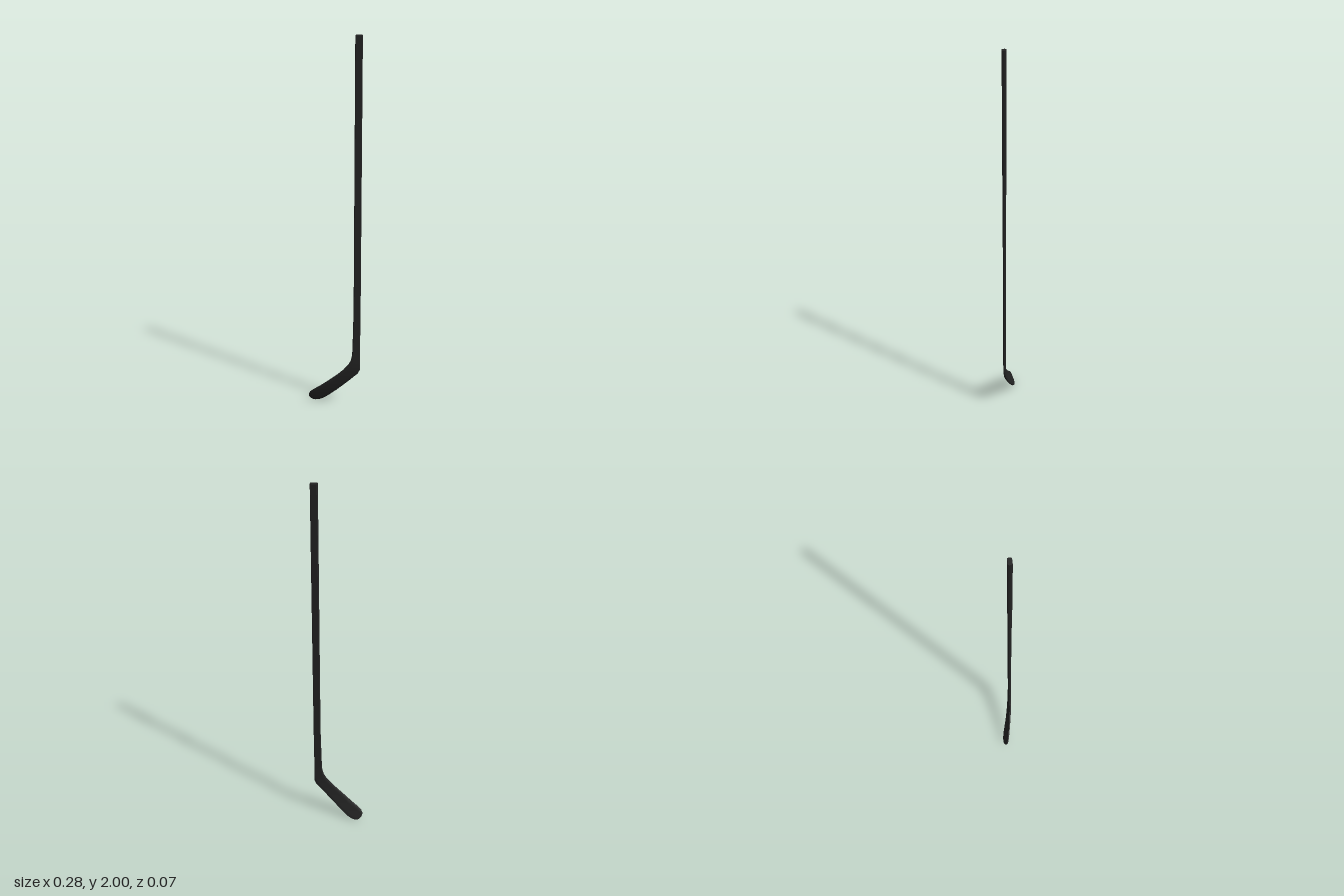
import * as THREE from 'three';
import { toCreasedNormals } from 'three/addons/utils/BufferGeometryUtils.js';

// Backward sweep of the blade as a function of height
const curveZ = y => 0.027 - 0.754 * Math.pow(Math.max(0, 0.25 - y), 1.81);
const slope = y => 1.365 * Math.pow(Math.max(0, 0.25 - y), 0.81);

// Chamfered section: [position from inner to outer edge, half-thickness factor]
const half = [[0, 0.5], [0.08, 1], [0.25, 1], [0.42, 1], [0.58, 1], [0.75, 1], [0.92, 1], [1, 0.5]];
const section = [...half, ...half.map(([u, h]) => [u, -h]).reverse()];

// Loft stations [outerX, outerY, innerX, innerY, thickness] from top to bottom
function loft(stations) {
  const pos = [], index = [], n = section.length;
  for (const [ax, ay, bx, by, t] of stations) {
    for (const [u, h] of section) {
      const x = bx + (ax - bx) * u, y = by + (ay - by) * u;
      const s = slope(y), k = h * t / 2 / Math.hypot(1, s);
      pos.push(x, Math.max(0, y - s * k), curveZ(y) + k);
    }
  }
  for (let i = 0; i < stations.length - 1; i++) {
    for (let j = 0; j < n; j++) {
      const p = i * n + j, q = i * n + (j + 1) % n;
      index.push(p, p + n, q, q, p + n, q + n);
    }
  }
  // End caps
  const last = (stations.length - 1) * n;
  for (let j = 1; j < n - 1; j++) {
    index.push(0, j, j + 1, last, last + j + 1, last + j);
  }
  const g = new THREE.BufferGeometry();
  g.setAttribute('position', new THREE.Float32BufferAttribute(pos, 3));
  g.setIndex(index);
  return toCreasedNormals(g, 0.6);
}

export function createModel() {
  const group = new THREE.Group();
  group.name = 'hockeyStick';
  const black = new THREE.MeshStandardMaterial({ color: 0x232323 });
  black.name = 'matte black';

  const joint = [0.138, 0.28, 0.097, 0.33, 0.014];

  // Long shaft, thinning towards the blade
  const shaft = new THREE.Mesh(loft([
    [0.139, 2, 0.102, 2, 0.022],
    [0.139, 1.48, 0.102, 1.48, 0.021],
    [0.139, 1.2, 0.102, 1.2, 0.017],
    [0.139, 0.56, 0.102, 0.56, 0.015],
    [0.138, 0.4, 0.099, 0.42, 0.014],
    joint,
  ]), black);
  shaft.name = 'shaft';

  // Heel and curved blade ending in a round toe
  const blade = new THREE.Mesh(loft([
    joint,
    [0.138, 0.24, 0.095, 0.295, 0.014],
    [0.137, 0.212, 0.088, 0.265, 0.014],
    [0.126, 0.19, 0.075, 0.24, 0.013],
    [0.09, 0.155, 0.05, 0.211, 0.012],
    [0.05, 0.116, 0.02, 0.183, 0.011],
    [0.01, 0.078, -0.02, 0.15, 0.01],
    [-0.03, 0.042, -0.06, 0.117, 0.01],
    [-0.06, 0.019, -0.09, 0.094, 0.01],
    [-0.085, 0.007, -0.115, 0.077, 0.01],
    [-0.105, 0.004, -0.132, 0.061, 0.009],
    [-0.12, 0.008, -0.139, 0.046, 0.008],
    [-0.131, 0.018, -0.139, 0.032, 0.006],
  ]), black);
  blade.name = 'blade';

  group.add(shaft, blade);
  return group;
}
